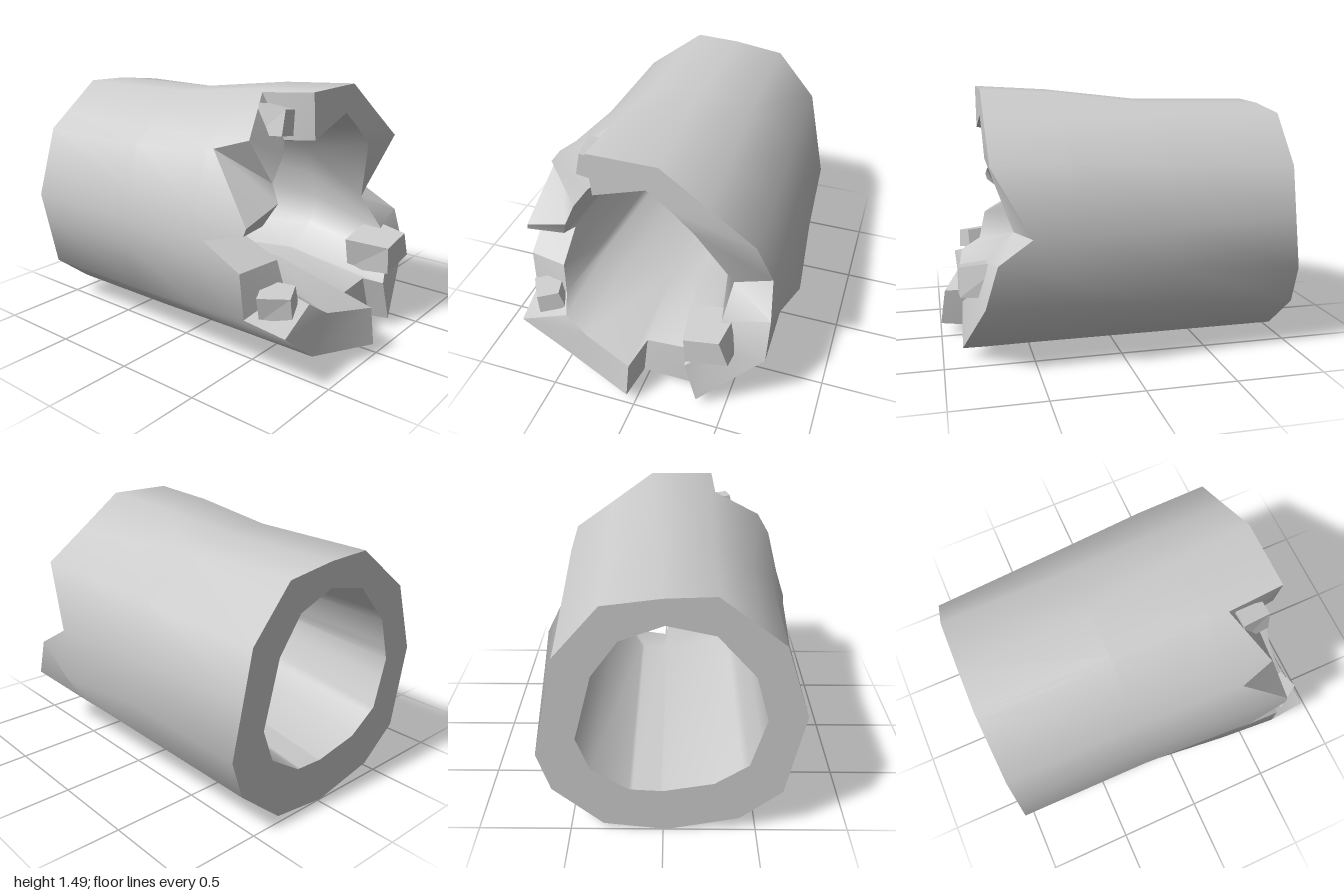
import * as THREE from 'three';
import { toCreasedNormals } from 'three/addons/utils/BufferGeometryUtils.js';

// Corners [z, y] of the intact end, from the top towards +z and round
const OUTER_END = [[0.26, 1.39], [0.6, 1.13], [0.73, 0.73], [0.635, 0.26], [0.41, 0.08], [0.02, 0],
  [-0.32, 0.04], [-0.59, 0.27], [-0.66, 0.49], [-0.54, 1.06], [-0.3, 1.34], [0, 1.38]];
const INNER_END = [[0.26, 1.185], [0.46, 0.96], [0.53, 0.71], [0.45, 0.43], [0.27, 0.31], [0, 0.26],
  [-0.18, 0.27], [-0.38, 0.4], [-0.45, 0.59], [-0.355, 0.96], [-0.215, 1.155], [0.01, 1.24]];

// Jagged outer lip [x, y, z, matching position along the end corners]
const OUTER_LIP = [
  [0.73, 1.49, -0.09, 11], [0.73, 1.49, 0.3, 0], [0.41, 1.46, 0.31, 0.1], [0.55, 1.27, 0.6, 0.65],
  [0.36, 1.21, 0.65, 1], [0.65, 0.87, 0.75, 1.6], [0.64, 0.83, 0.76, 1.75], [0.39, 0.76, 0.78, 2],
  [0.62, 0.63, 0.765, 2.4], [0.64, 0.38, 0.755, 3], [0.88, 0.34, 0.73, 3.2], [0.86, 0.12, 0.45, 4],
  [1, 0.07, 0.04, 5], [0.77, 0.045, 0.02, 5.1], [0.77, 0.04, -0.32, 5.9], [0.89, 0.05, -0.34, 6],
  [0.78, 0.39, -0.7, 7], [0.71, 0.62, -0.7, 8], [0.52, 0.74, -0.66, 8.5], [0.73, 1.12, -0.6, 9],
  [0.73, 1.3, -0.35, 10]];
// Jagged inner lip [x, y, z]
const INNER_LIP = [
  [0.73, 1.34, -0.02], [0.73, 1.24, 0.28], [0.55, 1.22, 0.3], [0.6, 1.17, 0.37],
  [0.6, 1.03, 0.47], [0.66, 0.94, 0.5], [0.6, 0.82, 0.55], [0.46, 0.76, 0.55],
  [0.68, 0.65, 0.53], [0.72, 0.48, 0.51], [0.84, 0.42, 0.46], [0.87, 0.33, 0.33],
  [0.97, 0.28, 0.03], [0.75, 0.28, 0], [0.76, 0.31, -0.24], [0.88, 0.3, -0.27],
  [0.82, 0.42, -0.42], [0.75, 0.58, -0.44], [0.6, 0.74, -0.46], [0.73, 1.12, -0.28],
  [0.73, 1.24, -0.15]];

const material = new THREE.MeshStandardMaterial({ color: 0xcccccc });
const vec = ([x, y, z]) => new THREE.Vector3(x, y, z);

// Point on an end polygon at fractional corner position s
function endPoint(corners, s) {
  const i = Math.floor(s), a = corners[i], b = corners[(i + 1) % corners.length];
  return new THREE.Vector3(-1, THREE.MathUtils.lerp(a[1], b[1], s - i), THREE.MathUtils.lerp(a[0], b[0], s - i));
}

// Surface through a row of closed loops
function skin(loops) {
  const n = loops[0].length, index = [];
  for (let k = 0; k < loops.length - 1; k++) {
    for (let i = 0; i < n; i++) {
      const j = (i + 1) % n, a = k * n, b = a + n;
      index.push(a + i, a + j, b + j, a + i, b + j, b + i);
    }
  }
  const geometry = new THREE.BufferGeometry().setFromPoints(loops.flat());
  geometry.setIndex(index);
  geometry.computeVertexNormals();
  return geometry;
}

// Round shading: normals point straight away from the pipe axis
function roundNormals(geometry) {
  const p = geometry.attributes.position, normal = new THREE.Vector3();
  for (let i = 0; i < p.count; i++) {
    normal.set(0, p.getY(i) - 0.7, p.getZ(i) - 0.03).normalize();
    geometry.attributes.normal.setXYZ(i, normal.x, normal.y, normal.z);
  }
  return geometry;
}

// Ring between the end and the lip: fixed x, section blended by t, or tBack at the back
const blend = (end, lip, x, t, tBack) =>
  end.map((p, i) => p.clone().lerp(lip[i], p.z < -0.35 ? tBack : t).setX(x));

// Tapered stone lump left standing on the broken face
function makeChunk(position, size, rotation) {
  const geometry = new THREE.BoxGeometry(...size);
  const p = geometry.attributes.position;
  for (let i = 0; i < p.count; i++) {
    if (p.getX(i) > 0) {
      p.setY(i, p.getY(i) * 0.8);
      p.setZ(i, p.getZ(i) * (p.getY(i) > 0 ? 0.7 : 0.85));
    }
  }
  const flat = geometry.toNonIndexed();
  flat.computeVertexNormals();
  const mesh = new THREE.Mesh(flat, material);
  mesh.position.set(...position);
  mesh.rotation.set(...rotation);
  return mesh;
}

export function createModel() {
  const model = new THREE.Group();
  model.name = 'brokenPipe';
  const add = (name, geometry) => {
    const mesh = new THREE.Mesh(geometry, material);
    mesh.name = name;
    model.add(mesh);
  };

  const outerLip = OUTER_LIP.map(vec), innerLip = INNER_LIP.map(vec);
  const outerEnd = OUTER_LIP.map(r => endPoint(OUTER_END, r[3]));
  const innerEnd = OUTER_LIP.map(r => endPoint(INNER_END, r[3]));

  // Outer wall, swelling towards the broken end and bulging at the back
  const waist = blend(outerEnd, outerLip, -0.25, 0.12, 0.5);
  const swell = blend(outerEnd, outerLip, 0.3, 0.75, 0.9);
  waist[17].z = -0.72;
  swell[17].set(0.31, 0.53, -0.78);
  add('outerWall', roundNormals(skin([outerEnd, waist, swell, outerLip])));

  // Inner wall, its floor rising to a throat before flaring out to the lip
  const throat = innerEnd.map(p => new THREE.Vector3(0.3, 1.26 - (1.26 - p.y) * 0.84, p.z * 0.95 + 0.015));
  add('innerWall', skin([innerLip, throat, innerEnd]));

  // Jagged break and flat intact end
  add('brokenFace', toCreasedNormals(skin([outerLip, innerLip]), 0.6));
  add('endFace', skin([innerEnd, outerEnd]));

  // Lumps on the break
  [
    [[0.54, 1.33, 0.36], [0.16, 0.17, 0.12], [-0.15, 0, 0]],
    [[0.74, 0.46, 0.6], [0.17, 0.14, 0.18], [0.2, 0.4, 0]],
    [[0.77, 0.465, -0.385], [0.26, 0.2, 0.29], [0.2, 0, 0]],
  ].forEach((c, i) => {
    const chunk = makeChunk(...c);
    chunk.name = 'stoneChunk' + (i + 1);
    model.add(chunk);
  });
  return model;
}
